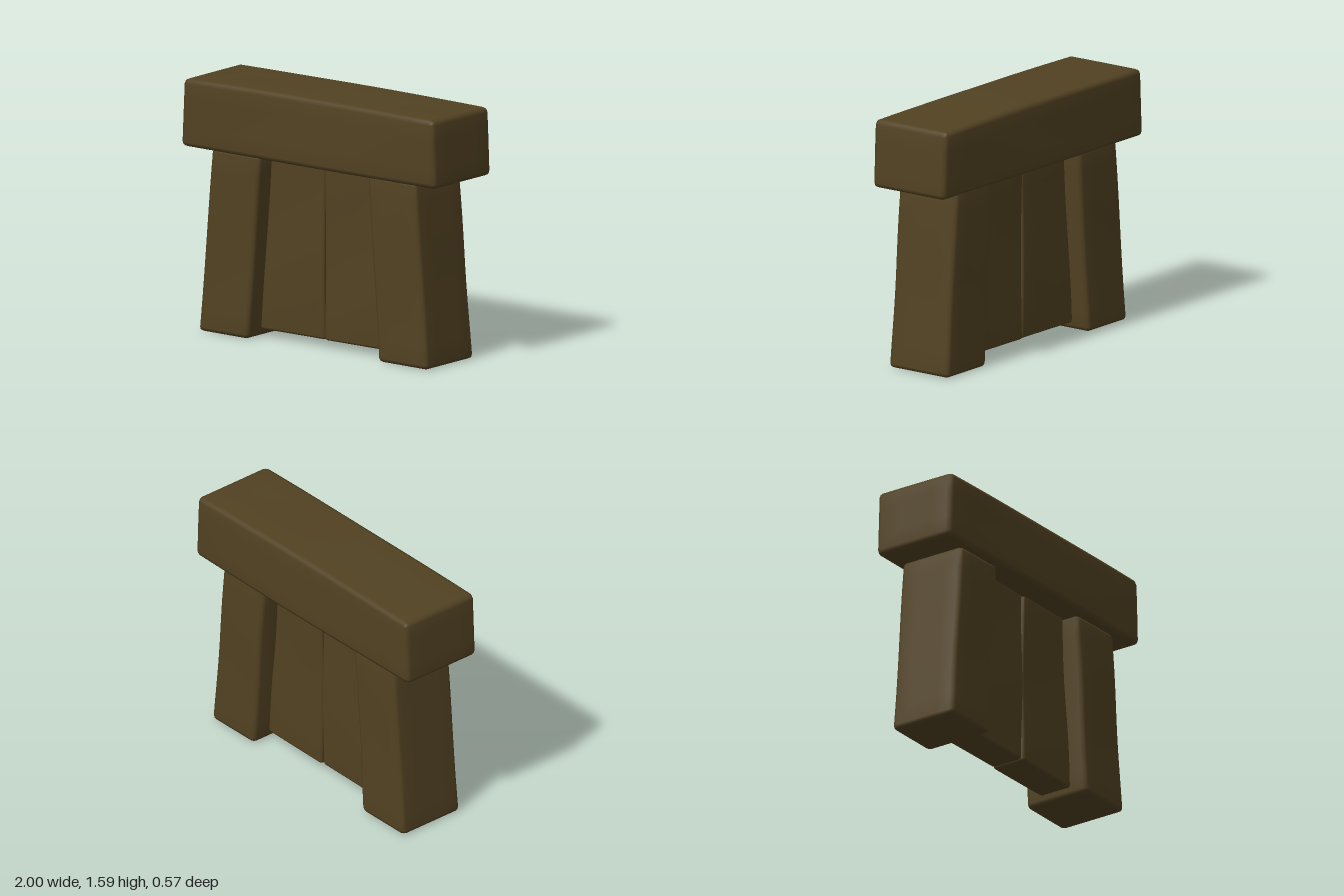
import * as THREE from 'three';
import { mergeVertices } from 'three/addons/utils/BufferGeometryUtils.js';

const stone = new THREE.MeshStandardMaterial({ color: 0x524222 });
stone.name = 'brownStone';

// Worn stone block: a box with rounded edges, tapered from its bottom to its top.
// bottom and top are [xMin, xMax, half depth]; y is [yMin, yMax].
function slab(name, bottom, top, y, segments, r, wobble, seed) {
  const size = [
    (bottom[1] - bottom[0] + top[1] - top[0]) / 2,
    y[1] - y[0],
    bottom[2] + top[2],
  ];
  let geo = new THREE.BoxGeometry(2, 2, 2, ...segments);
  geo.deleteAttribute('normal');
  geo.deleteAttribute('uv');
  geo = mergeVertices(geo);
  const pos = geo.attributes.position;
  const p = new THREE.Vector3();
  const core = new THREE.Vector3();
  for (let i = 0; i < pos.count; i++) {
    p.fromBufferAttribute(pos, i);
    // The outermost row of faces becomes the rounded edge
    ['x', 'y', 'z'].forEach((a, k) => {
      const half = size[k] / 2;
      const inner = 1 - 2 / segments[k];
      const t = p[a];
      core[a] = THREE.MathUtils.clamp(t / inner, -1, 1) * (half - r);
      p[a] = Math.abs(t) > inner + 1e-4 ? Math.sign(t) * half : core[a];
    });
    p.sub(core).setLength(r).add(core);
    // Back to -0.5..0.5, then onto the tapered shape
    const u = p.x / size[0] + 0.5;
    const v = p.y / size[1] + 0.5;
    const w = p.z / size[2];
    const mix = (k) => THREE.MathUtils.lerp(bottom[k], top[k], v);
    const x = THREE.MathUtils.lerp(mix(0), mix(1), u);
    const yy = y[0] + v * size[1];
    const z = w * 2 * mix(2);
    // Gentle unevenness of the faces
    const n1 = Math.sin(x * 5 + yy * 4 + seed) * Math.cos(z * 6 + seed);
    const n2 = Math.sin(yy * 6 - x * 3 + seed * 2.3);
    pos.setXYZ(i, x + wobble * 0.4 * n2 * (1 - Math.abs(2 * v - 1)), yy + wobble * 0.3 * n1 * v, z + wobble * n2 * w * 2);
  }
  geo.computeVertexNormals();
  const mesh = new THREE.Mesh(geo, stone);
  mesh.name = name;
  return mesh;
}

export function createModel() {
  const group = new THREE.Group();
  group.name = 'stoneGate';

  for (const s of [1, -1]) {
    const side = s > 0 ? 'left' : 'right';
    const span = (a, b, d) => (s > 0 ? [a, b, d] : [-b, -a, d]);
    // Leaning upright
    group.add(slab(side + 'Pillar', span(0.51, 0.9, 0.228), span(0.42, 0.8, 0.222),
      [0.003, 1.165], [6, 12, 6], 0.028, 0.003, 1 + s));
    // Thinner door slab set between the uprights
    group.add(slab(side + 'DoorSlab', span(0.002, 0.505, 0.112), span(0.002, 0.42, 0.112),
      [0.05, 1.165], [6, 10, 5], 0.016, 0.005, 4 + s * 2));
  }

  // Capstone, slightly swollen in the middle
  const lintel = slab('lintel', [-1, 1, 0.28], [-0.98, 0.98, 0.275],
    [1.155, 1.582], [14, 6, 6], 0.032, 0.003, 0.6);
  const pos = lintel.geometry.attributes.position;
  for (let i = 0; i < pos.count; i++) {
    const swell = 1 - pos.getX(i) ** 2;
    if (pos.getY(i) > 1.4) pos.setY(i, pos.getY(i) + 0.008 * swell);
    pos.setZ(i, pos.getZ(i) * (1 + 0.015 * swell));
  }
  lintel.geometry.computeVertexNormals();
  group.add(lintel);

  return group;
}
